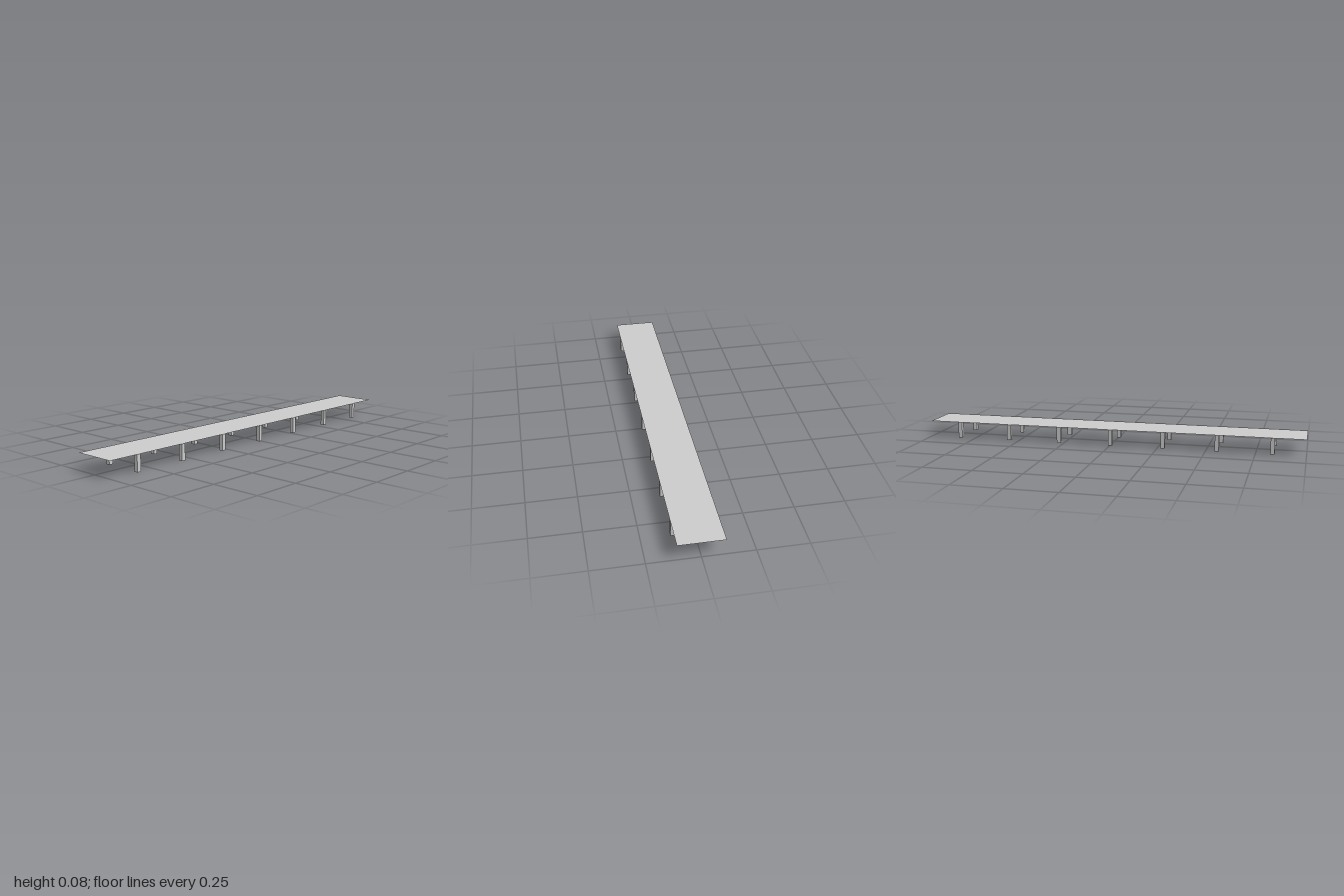
import * as THREE from 'three';

const HEIGHT = 0.084, HALF_WIDTH = 0.111, POST = 0.021;

export function createModel() {
  const model = new THREE.Group();
  model.name = 'walkway';
  const grey = new THREE.MeshStandardMaterial({ color: 0xcccccc, side: THREE.DoubleSide });
  grey.name = 'light grey';

  // Paper-thin deck
  const deckGeometry = new THREE.PlaneGeometry(HALF_WIDTH * 2, 2).rotateX(-Math.PI / 2);
  const deck = new THREE.Mesh(deckGeometry, grey);
  deck.name = 'deck';
  deck.position.y = HEIGHT;
  model.add(deck);

  // Seven pairs of square posts, flush with the deck's long edges;
  // they stop just under the deck so the surfaces do not overlap
  const postHeight = HEIGHT - 0.0004;
  const postGeometry = new THREE.BoxGeometry(POST, postHeight, POST);
  for (const side of [-1, 1]) {
    for (let i = -3; i <= 3; i++) {
      const post = new THREE.Mesh(postGeometry, grey);
      post.name = side > 0 ? 'leftPost' : 'rightPost';
      post.position.set(side * (HALF_WIDTH - POST / 2), postHeight / 2, i * 0.278);
      model.add(post);
    }
  }
  return model;
}
